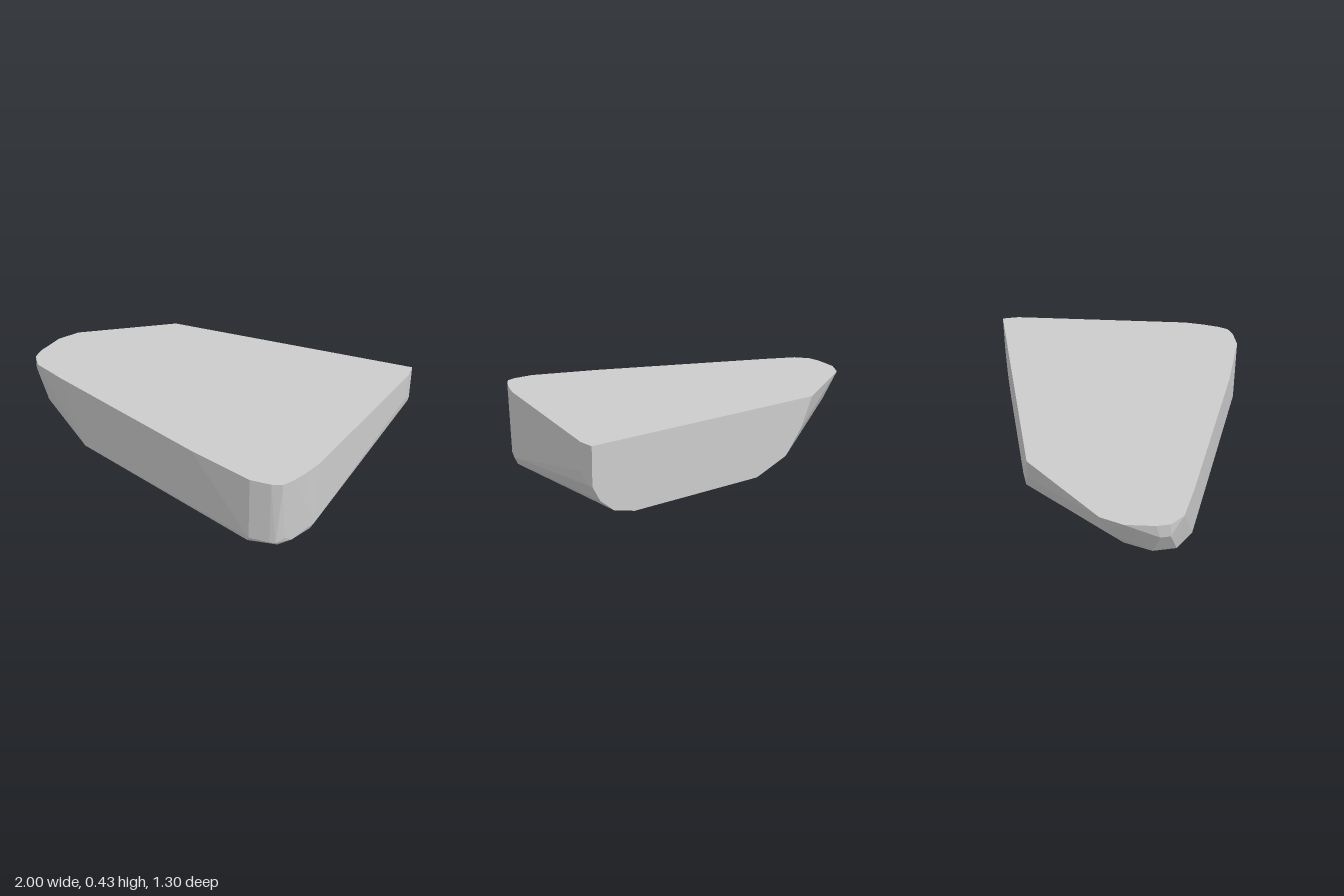
import * as THREE from 'three';
import { ConvexGeometry } from 'three/addons/geometries/ConvexGeometry.js';

const TOP = 0.425;
const BACK = -0.65;

// Flat top outline as [x, z]
const rim = [
  [-0.4, BACK], [1, BACK], [1, -0.56], [0.77, 0.4], [0.73, 0.5], [0.69, 0.58], [0.655, 0.63], [0.6, 0.648],
  [0.49, 0.648], [0.14, 0.52], [-0.77, 0.13], [-0.95, 0.045], [-1, -0.03], [-1, -0.1], [-0.965, -0.25], [-0.89, -0.355],
];

// Lower edge of the flat back face as [x, y]
const backEdge = [
  [1, 0.23], [0.957, 0.153], [0.88, 0.09], [0.76, 0.06],
  [-0.02, 0.06], [-0.22, 0.135], [-0.325, 0.265],
];

// Bevelled corners as [x, y, z]
const sideCorner = [[1, 0.285, -0.56], [1, 0.23, -0.61], [0.957, 0.153, -0.61]];
const frontCorner = [
  [0.765, 0.06, 0.41], [0.735, 0.04, 0.44], [0.69, 0.04, 0.555], [0.665, 0.08, 0.6],
  [0.63, 0.06, 0.635], [0.6, 0.06, 0.64], [0.49, 0.06, 0.64], [0.48, 0.03, 0.625],
  [0.63, 0.025, 0.6], [0.745, 0.02, 0.41],
];
const leftEnd = [
  [-1, 0.35, -0.03], [-1, 0.35, -0.08], [-0.91, 0.19, 0.02], [-0.91, 0.19, -0.1],
  [-0.83, 0.27, -0.31], [-0.77, 0.14, -0.22], [-0.76, 0.08, 0.06], [-0.76, 0.08, -0.07],
  [-0.63, 0.03, 0.16],
];

// Corners of the level underside
const underside = [
  [0.52, 0, 0.58], [0.62, 0.005, 0.56], [0.72, 0.01, 0.41], [0.68, 0, -0.18],
  [-0.55, 0, -0.2], [-0.64, 0.005, 0.02], [-0.62, 0, 0.1],
];

export function createModel() {
  const points = [
    ...rim.map(([x, z]) => [x, TOP, z]),
    ...backEdge.map(([x, y]) => [x, y, BACK]),
    ...sideCorner, ...frontCorner, ...leftEnd, ...underside,
  ].map((p) => new THREE.Vector3(...p));

  // One solid faceted block stretched over all the corners
  const block = new THREE.Mesh(
    new ConvexGeometry(points),
    new THREE.MeshStandardMaterial({ color: 0xcccccc, flatShading: true }),
  );
  block.name = 'facetedBlock';

  const group = new THREE.Group();
  group.name = 'bevelledBlock';
  group.add(block);
  return group;
}
